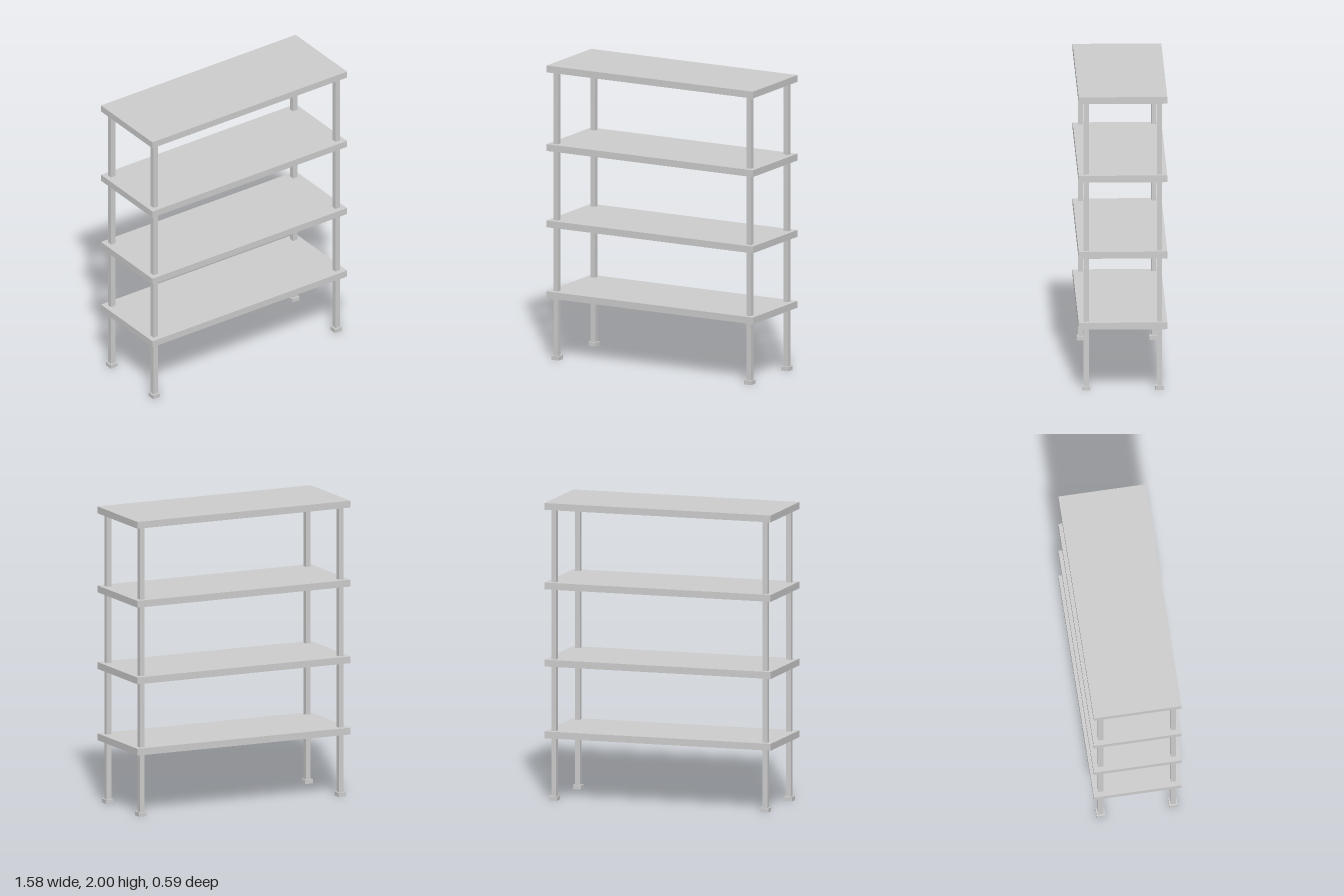
import * as THREE from 'three';

export function createModel() {
  const model = new THREE.Group();
  const material = new THREE.MeshStandardMaterial({ color: 0xcccccc, flatShading: true });

  // Box resting on height y
  function addBox(name, parent, w, h, d, x, y, z) {
    const mesh = new THREE.Mesh(new THREE.BoxGeometry(w, h, d), material);
    mesh.name = name;
    mesh.position.set(x, y + h / 2, z);
    parent.add(mesh);
  }

  // Four shelves, listed by the height of their top face
  const thickness = 0.046;
  [0.466, 0.948, 1.466, 2].forEach((top, i) => {
    addBox(`shelf${i + 1}`, model, 1.584, thickness, 0.588, 0, top - thickness, 0);
  });

  // Square corner posts with wider feet
  const footHeight = 0.028;
  for (const [side, x] of [['Left', 0.74], ['Right', -0.74]]) {
    for (const [end, z] of [['front', 0.243], ['back', -0.243]]) {
      const leg = new THREE.Group();
      leg.name = `${end}${side}Leg`;
      addBox('post', leg, 0.034, 2 - thickness - footHeight, 0.034, x, footHeight, z);
      addBox('foot', leg, 0.056, footHeight, 0.056, x, 0, z);
      model.add(leg);
    }
  }
  return model;
}
